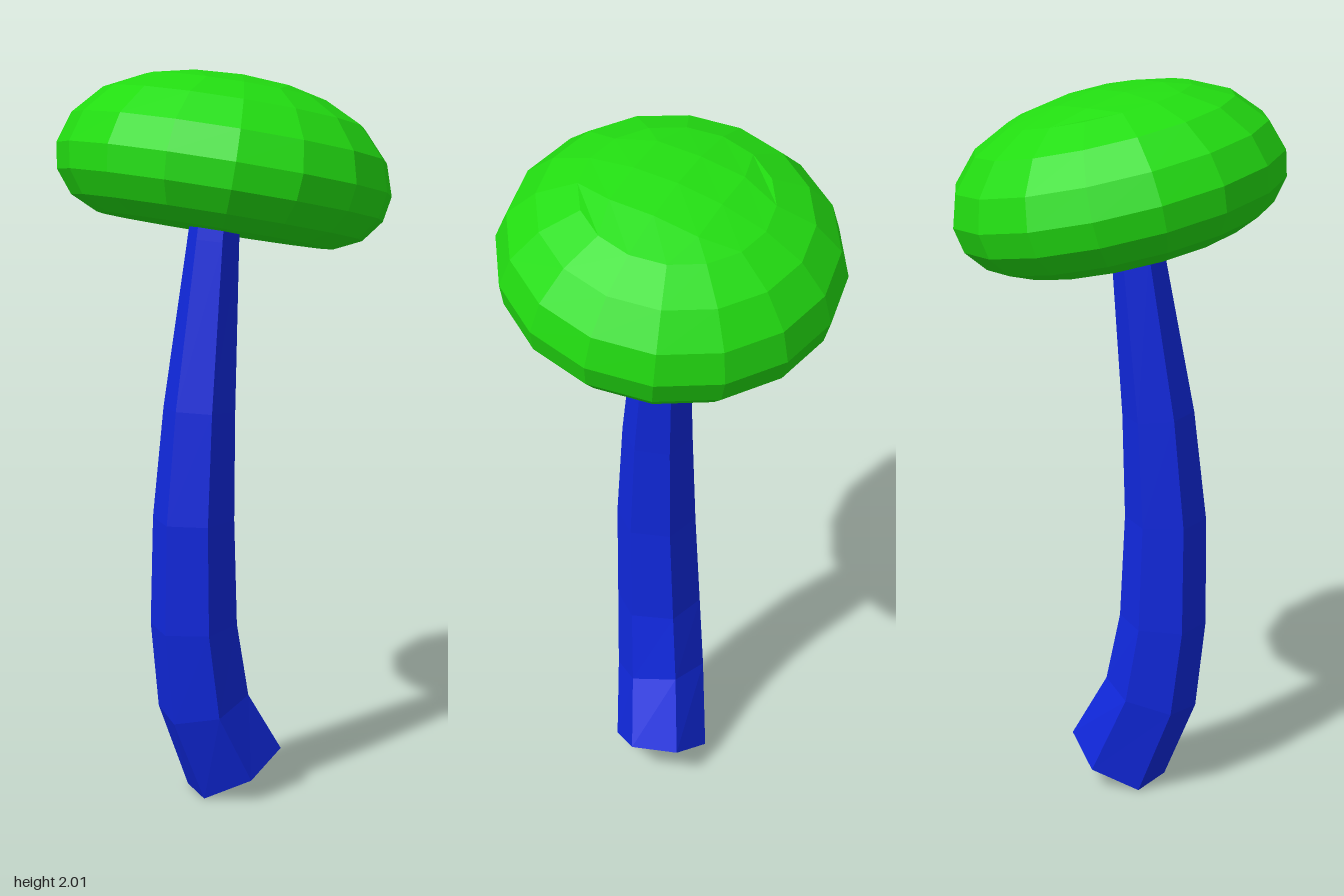
import * as THREE from 'three';

// Move every vertex of a geometry by a rule that edits the vector in place
function reshape(geometry, rule) {
  const pos = geometry.attributes.position;
  const p = new THREE.Vector3();
  for (let i = 0; i < pos.count; i++) {
    rule(p.fromBufferAttribute(pos, i));
    pos.setXYZ(i, p.x, p.y, p.z);
  }
  geometry.computeVertexNormals();
  return geometry;
}

function makeMesh(name, geometry, color) {
  const mesh = new THREE.Mesh(geometry, new THREE.MeshStandardMaterial({ color, flatShading: true }));
  mesh.name = name;
  return mesh;
}

// Cap: a box grid rounded into 16-sided rings, with a flat underside
function makeCap() {
  // [radius, height] from the bottom rim up to the edge of the crown
  const rings = [[0.32, -0.165], [0.395, -0.13], [0.442, -0.07], [0.455, 0], [0.428, 0.085], [0.355, 0.165], [0.25, 0.217]];
  const rows = rings.length - 1;
  const geometry = reshape(new THREE.BoxGeometry(4, rows, 4, 4, rows, 4), (p) => {
    const level = Math.round(Math.max(Math.abs(p.x), Math.abs(p.z))); // 0 centre, 1 inner square, 2 outer ring
    const row = Math.round(p.y + rows / 2);
    const [radius, height] = rings[row];
    if (level === 2) {
      // Spread the square outline evenly around a circle
      const angle = Math.abs(p.x) >= Math.abs(p.z)
        ? (p.z / p.x) * Math.PI / 4 + (p.x < 0 ? Math.PI : 0)
        : Math.PI / 2 - (p.x / p.z) * Math.PI / 4 + (p.z < 0 ? Math.PI : 0);
      p.set(radius * Math.cos(angle), height, radius * Math.sin(angle));
    } else {
      // Crown rises towards the middle, underside stays flat
      const corner = Math.abs(p.x * p.z) > 0.5;
      const crown = level === 0 ? 0.255 : corner ? 0.238 : 0.246;
      p.set(p.x * radius / 2, row === rows ? crown : height, p.z * radius / 2);
    }
  });
  const cap = makeMesh('cap', geometry, 0x22dd11);
  cap.position.y = 1.737;
  cap.quaternion.setFromUnitVectors(
    new THREE.Vector3(0, 1, 0),
    new THREE.Vector3(0.17, 1, -0.16).normalize()
  );
  return cap;
}

// Stem: a bowed six-sided column that tapers up into the cap
function makeStem() {
  // centre x, y, z, radius, then the rise of the ring along x and z
  const rings = [
    [0.025, 0.06, 0.022, 0.132, 0.5, -0.15],
    [-0.063, 0.272, 0.07, 0.126, 0.22, -0.2],
    [-0.09, 0.5, 0.09, 0.12, 0.04, -0.04],
    [-0.09, 0.8, 0.097, 0.112, 0, 0],
    [-0.073, 1.1, 0.083, 0.098, -0.06, 0.06],
    [-0.033, 1.55, 0.042, 0.07, -0.12, 0.12],
    [-0.024, 1.64, 0.032, 0.066, -0.12, 0.12]
  ];
  const rows = rings.length - 1;
  const start = THREE.MathUtils.degToRad(18);
  const geometry = reshape(new THREE.CylinderGeometry(1, 1, rows, 6, rows, false, start), (p) => {
    const [x, y, z, radius, riseX, riseZ] = rings[Math.round(p.y + rows / 2)];
    const dx = p.x * radius;
    const dz = p.z * radius;
    p.set(x + dx, y + riseX * dx + riseZ * dz, z + dz);
  });
  return makeMesh('stem', geometry, 0x1028dd);
}

export function createModel() {
  const model = new THREE.Group();
  model.name = 'mushroom';
  model.add(makeStem(), makeCap());
  return model;
}
